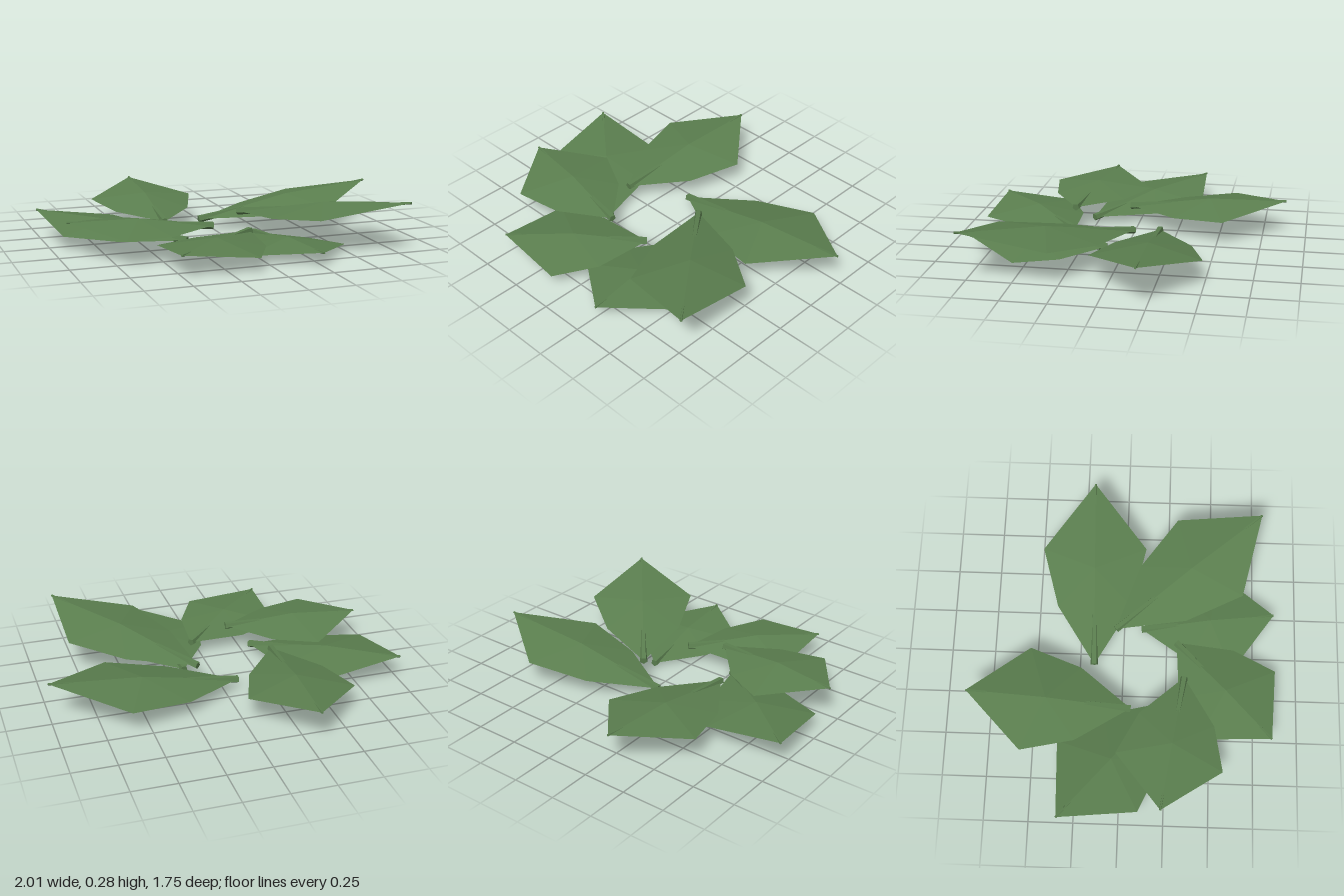
import * as THREE from 'three';

const leafGreen = new THREE.MeshStandardMaterial({ color: 0x5b7f4f, flatShading: true, side: THREE.DoubleSide });
leafGreen.name = 'leaf green';

// Faceted blade, arched along the middle; runs from the origin along +z
function bladeGeometry(length) {
  const base = [0, 0, 0];
  const mid = [0, 0.03, 0.52 * length];
  const tip = [0, 0, length];
  const points = [];
  for (const side of [1, -1]) {
    const inner = [side * 0.215, -0.02, 0.32 * length];
    const outer = [side * 0.303, -0.028, 0.64 * length];
    const rim = [base, inner, outer, tip];
    for (let i = 0; i < 3; i++) {
      const [a, b] = side > 0 ? [rim[i + 1], rim[i]] : [rim[i], rim[i + 1]];
      points.push(...a, ...b, ...mid);
    }
  }
  const geometry = new THREE.BufferGeometry();
  geometry.setAttribute('position', new THREE.Float32BufferAttribute(points, 3));
  geometry.computeVertexNormals();
  return geometry;
}

function createLeaf(base, tip) {
  const start = new THREE.Vector3(...base);
  const end = new THREE.Vector3(...tip);
  const length = start.distanceTo(end);
  const leaf = new THREE.Group();

  const blade = new THREE.Mesh(bladeGeometry(length), leafGreen);
  blade.name = 'blade';

  // Straight tapering rib that shows above the blade at both ends
  const ribGeometry = new THREE.CylinderGeometry(0.007, 0.022, length, 5);
  ribGeometry.rotateX(Math.PI / 2).translate(0, 0, length / 2);
  const rib = new THREE.Mesh(ribGeometry, leafGreen);
  rib.name = 'midrib';

  leaf.add(blade, rib);
  leaf.position.copy(start);
  leaf.lookAt(end);
  return leaf;
}

export function createModel() {
  const model = new THREE.Group();
  model.name = 'leafRosette';
  // Stem end and tip of each leaf around the ring
  const leaves = {
    backLeaf: [[-0.355, 0.11, 0.05], [-0.305, 0.2, -0.88]],
    backRightLeaf: [[-0.29, 0.045, 0.26], [-1, 0.148, -0.34]],
    rightLeaf: [[-0.17, 0.14, 0.35], [-0.95, 0.188, 0.23]],
    frontRightLeaf: [[0.06, 0.083, 0.305], [-0.51, 0.118, 0.85]],
    frontLeaf: [[0.16, 0.023, 0.1], [0.252, 0.073, 0.87]],
    frontLeftLeaf: [[0.12, 0.118, -0.05], [0.797, 0.28, 0.785]],
    leftLeaf: [[-0.08, 0.06, -0.168], [1, 0.222, -0.2]],
  };
  for (const [name, [base, tip]] of Object.entries(leaves)) {
    const leaf = createLeaf(base, tip);
    leaf.name = name;
    model.add(leaf);
  }
  return model;
}
